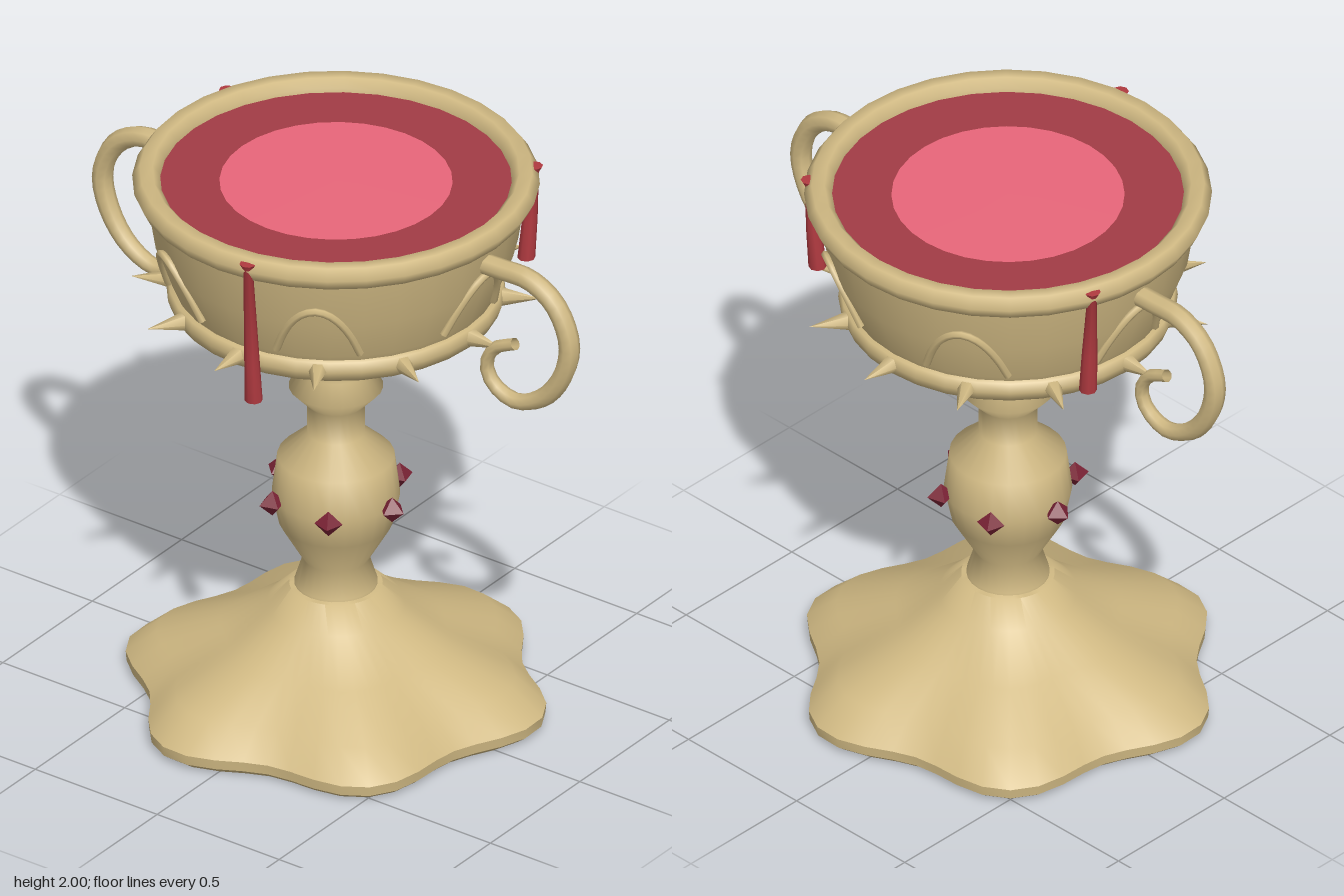
import * as THREE from 'three';
import { toCreasedNormals } from 'three/addons/utils/BufferGeometryUtils.js';

const paint = (color) => new THREE.MeshStandardMaterial({ color, side: THREE.DoubleSide });

export function createModel() {
  const model = new THREE.Group();
  const gold = paint(0xd0b983), red = paint(0xa23c45), drip = paint(0xb03a40);
  const pink = paint(0xe8667a), garnet = paint(0x7a2335);

  const add = (name, geometry, material, parent = model) => {
    const mesh = new THREE.Mesh(geometry, material);
    mesh.name = name;
    parent.add(mesh);
    return mesh;
  };
  const group = (name) => {
    const g = new THREE.Group();
    g.name = name;
    model.add(g);
    return g;
  };
  const lathe = (points, segments = 32) =>
    new THREE.LatheGeometry(points.map(([r, y]) => new THREE.Vector2(r, y)), segments);
  const V = (x, y, z) => new THREE.Vector3(x, y, z);

  // Spreading foot with six lobes that fade out toward the stem, flat below
  const foot = lathe([[0, 0.002], [0.3, 0.002], [0.65, 0], [0.675, 0.02], [0.678, 0.055],
    [0.58, 0.145], [0.385, 0.23], [0.23, 0.345], [0.155, 0.42], [0.1, 0.425]], 48);
  const p = foot.attributes.position;
  for (let i = 0; i < p.count; i++) {
    const x = p.getX(i), z = p.getZ(i), r = Math.hypot(x, z);
    const wave = Math.cos(6 * (Math.atan2(z, x) - Math.PI / 4));
    const k = 1 + 0.08 * wave * THREE.MathUtils.smoothstep(r, 0.1, 0.6);
    p.setX(i, x * k);
    p.setZ(i, z * k);
  }
  add('foot', toCreasedNormals(foot, 0.7), gold);

  // Stem with bulb and collar
  add('stem', lathe([[0.138, 0.4], [0.138, 0.43], [0.11, 0.52], [0.19, 0.66], [0.213, 0.77], [0.195, 0.91],
    [0.097, 1.0], [0.097, 1.11], [0.157, 1.175], [0.11, 1.24], [0.128, 1.31]], 24), gold);

  // Bowl, band and rounded rim
  add('bowl', lathe([[0.12, 1.3], [0.3, 1.37], [0.51, 1.51], [0.547, 1.6], [0.603, 1.75], [0.632, 1.93]]), gold);
  add('band', lathe([[0.5, 1.505], [0.55, 1.51], [0.562, 1.545], [0.555, 1.58], [0.52, 1.585]]), gold);
  add('rim', lathe([[0.62, 1.92], [0.655, 1.922], [0.675, 1.962], [0.65, 1.998], [0.607, 1.998],
    [0.583, 1.97], [0.583, 1.93]]), gold);

  // Liquid surface with a paler disc in the middle
  add('liquid', lathe([[0.585, 1.955], [0.38, 1.955]]), red);
  add('liquidCentre', lathe([[0.386, 1.956], [0, 1.958]]), pink);

  // Curled handles, thinning toward the curl, mirrored
  const curl = new THREE.CatmullRomCurve3([[0.58, 1.85], [0.68, 1.852], [0.8, 1.85], [0.9, 1.79], [0.957, 1.66],
    [0.93, 1.53], [0.85, 1.42], [0.735, 1.368], [0.645, 1.405], [0.618, 1.47], [0.65, 1.54], [0.735, 1.585]]
    .map(([x, y]) => V(x, y, 0)));
  const steps = 32, sides = 8;
  const handleGeo = new THREE.TubeGeometry(curl, steps, 0.036, sides);
  const hp = handleGeo.attributes.position;
  for (let i = 0; i < hp.count; i++) {
    const t = Math.floor(i / (sides + 1)) / steps;
    const v = V().fromBufferAttribute(hp, i);
    v.lerp(curl.getPointAt(t), 0.4 * THREE.MathUtils.smoothstep(t, 0.4, 1));
    hp.setXYZ(i, v.x, v.y, v.z);
  }
  add('leftHandle', handleGeo, gold);
  add('rightHandle', handleGeo, gold).rotation.y = Math.PI;

  // Arches laid on the bowl wall
  const arches = group('arches');
  const archPoints = [];
  for (let i = -4; i <= 4; i++) {
    const t = i / 4, y = 1.815 - 0.195 * t * t, r = 0.555 + (y - 1.6) * 0.31;
    archPoints.push(V(r * Math.cos(t * 0.25), y, r * Math.sin(t * 0.25)));
  }
  const archGeo = new THREE.TubeGeometry(new THREE.CatmullRomCurve3(archPoints), 20, 0.014, 6);

  // Gems round the stem bulb
  const gems = group('gems');
  const gemGeo = new THREE.OctahedronGeometry(0.047).translate(0.23, 0.775, 0);
  for (let i = 0; i < 6; i++) {
    const a = i * Math.PI / 3;
    add('arch', archGeo, gold, arches).rotation.y = a;
    add('gem', gemGeo, garnet, gems).rotation.y = a;
  }

  // Spikes round the band
  const spikes = group('spikes');
  const spikeGeo = new THREE.ConeGeometry(0.036, 0.15, 6).rotateZ(-Math.PI / 2).translate(0.607, 1.548, 0);
  for (let i = 0; i < 12; i++) add('spike', spikeGeo, gold, spikes).rotation.y = i * Math.PI / 6;

  // Drips running from the rim, widening downward: x, z, bottom height
  const drips = group('drips');
  for (const [x, z, bottom] of [[0.115, 0.65, 1.44], [0.5, -0.43, 1.635], [-0.615, -0.23, 1.565]]) {
    const run = lathe([[0, bottom], [0.03, bottom], [0.026, bottom + 0.15],
      [0.016, 1.96], [0.028, 1.985], [0, 1.987]], 8);
    const q = run.attributes.position;
    // Lean inward toward the lower end
    for (let i = 0; i < q.count; i++) {
      const k = 1 - 0.12 * (1.99 - q.getY(i));
      q.setX(i, q.getX(i) + x * k);
      q.setZ(i, q.getZ(i) + z * k);
    }
    add('drip', toCreasedNormals(run, 0.9), drip, drips);
  }
  return model;
}
